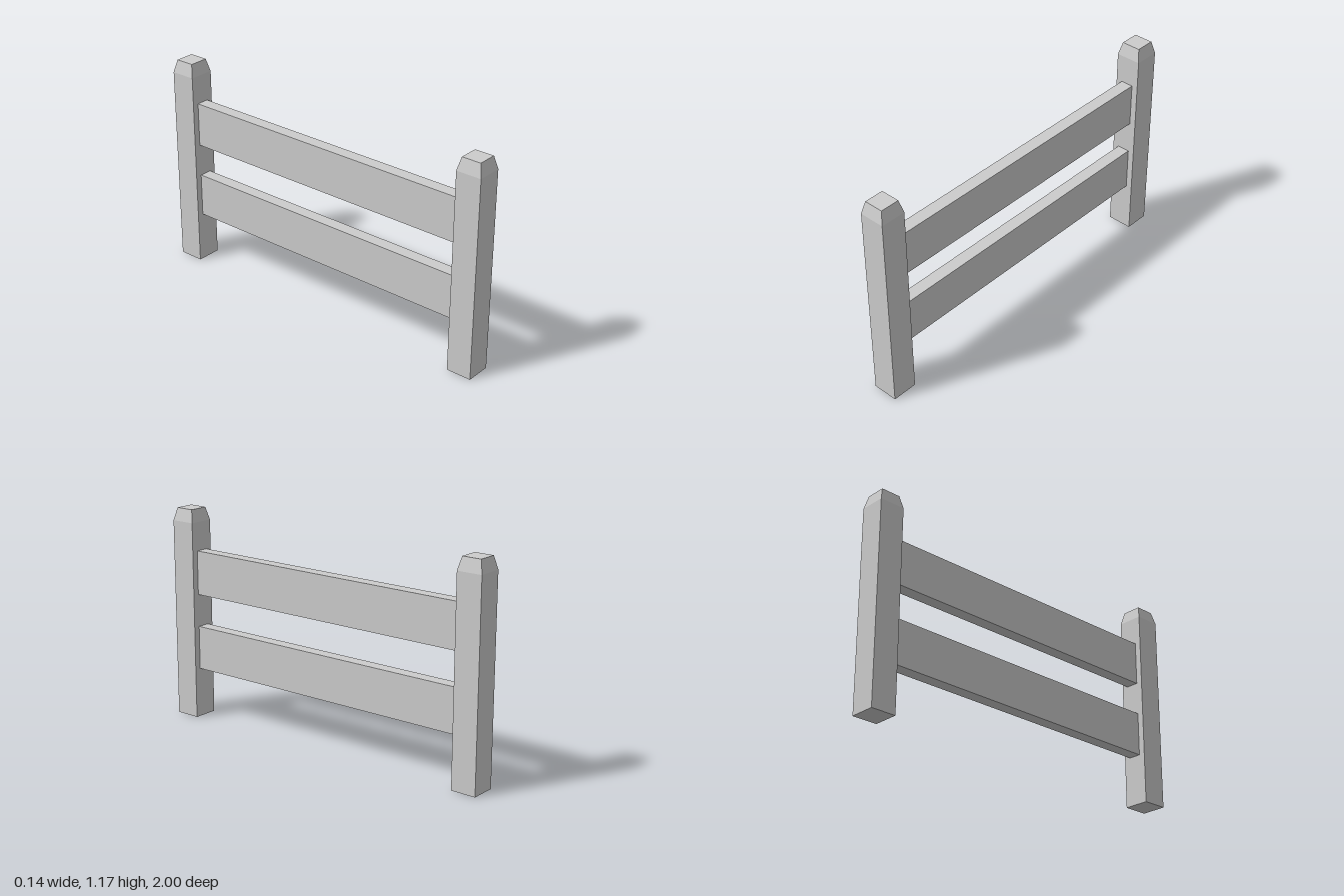
import * as THREE from 'three';

const material = new THREE.MeshStandardMaterial({ color: 0xcccccc, flatShading: true });

const POST = { width: 0.14, height: 1.175, shoulder: 1.105, topWidth: 0.106 };

// Square post whose top row of vertices is drawn in to form a chamfered cap
function postGeometry() {
  const { width, height, shoulder, topWidth } = POST;
  const geometry = new THREE.BoxGeometry(width, 2, width, 1, 2, 1);
  const p = geometry.attributes.position;
  const levels = [0, shoulder, height];
  for (let i = 0; i < p.count; i++) {
    const row = Math.round(p.getY(i)) + 1;
    const s = row === 2 ? topWidth / width : 1;
    p.setXYZ(i, p.getX(i) * s, levels[row], p.getZ(i) * s);
  }
  geometry.computeVertexNormals();
  return geometry;
}

export function createModel() {
  const fence = new THREE.Group();
  fence.name = 'fence';

  // Posts at both ends
  const postZ = 1 - POST.width / 2;
  const geometry = postGeometry();
  for (const [name, side] of [['frontPost', 1], ['backPost', -1]]) {
    const post = new THREE.Mesh(geometry, material);
    post.name = name;
    post.position.z = side * postZ;
    fence.add(post);
  }

  // Rails spanning between the inner post faces
  const railLength = 2 - 2 * POST.width;
  for (const [name, bottom, top] of [['lowerRail', 0.277, 0.52], ['upperRail', 0.702, 0.947]]) {
    const rail = new THREE.Mesh(new THREE.BoxGeometry(0.07, top - bottom, railLength), material);
    rail.name = name;
    rail.position.y = (bottom + top) / 2;
    fence.add(rail);
  }

  return fence;
}
